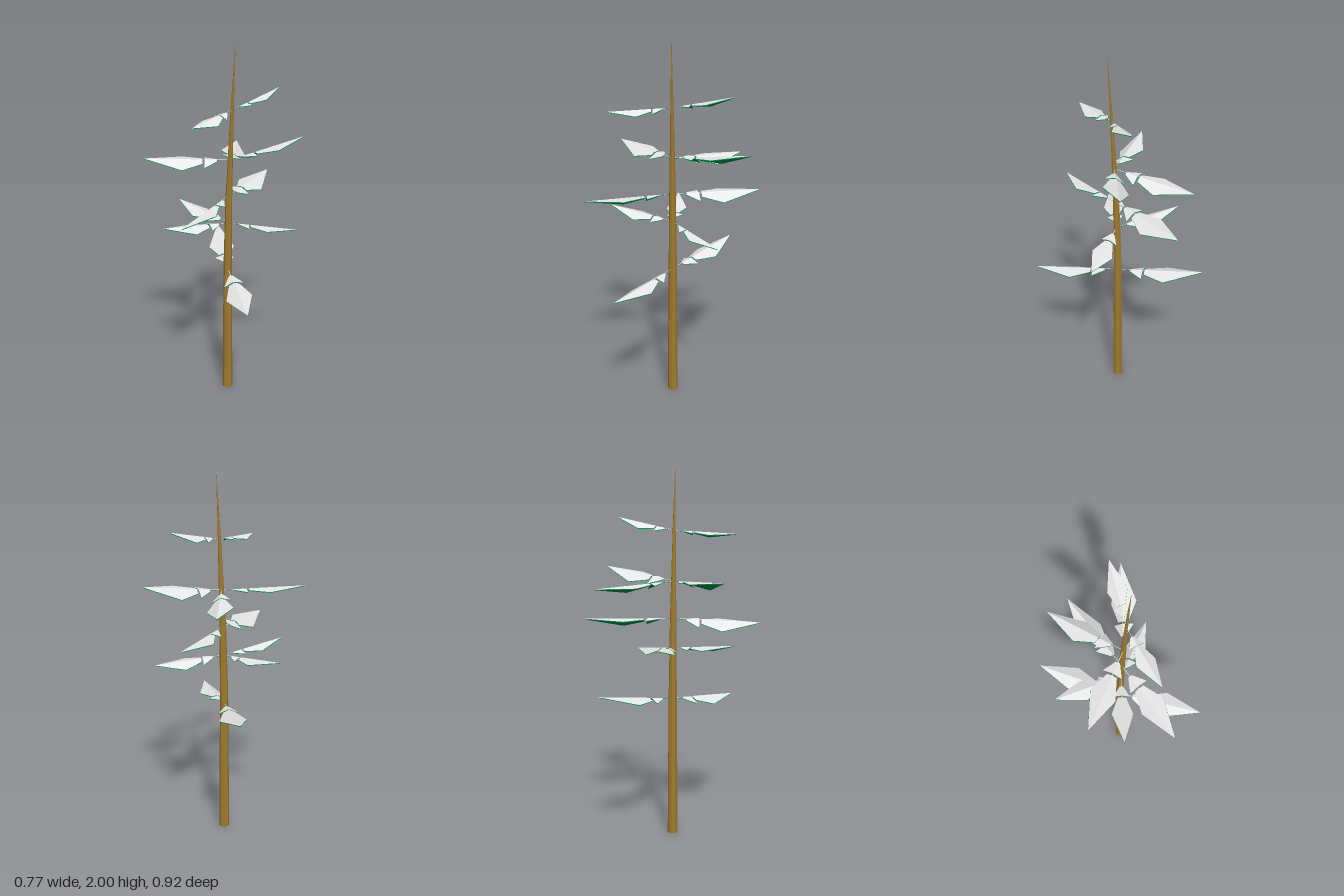
import * as THREE from 'three';

const makeMaterial = (name, color) =>
  new THREE.MeshStandardMaterial({ name, color, flatShading: true, side: THREE.DoubleSide });
const bark = makeMaterial('bark', 0x9f7a2e);
const snow = makeMaterial('snow', 0xf8f8f8);
const needles = makeMaterial('needleGreen', 0x008a45);

// Trunk stations: height, centre x, radius
const STATIONS = [[0, -0.008, 0.029], [0.8, -0.006, 0.023], [1.2, 0.003, 0.018],
  [1.4, 0.013, 0.014], [1.7, 0.028, 0.008], [2, 0.047, 0.001]];

function trunkAt(y) {
  let i = 1;
  while (i < STATIONS.length - 1 && y > STATIONS[i][0]) i++;
  const [a, b] = [STATIONS[i - 1], STATIONS[i]];
  const t = (y - a[0]) / (b[0] - a[0]);
  return { x: a[1] + (b[1] - a[1]) * t, r: a[2] + (b[2] - a[2]) * t };
}

// Branches: joint height, tip x, tip y, tip z, roll in degrees
const BRANCHES = [
  [0.77, -0.38, 0.84, -0.30, 0], [0.77, 0.385, 0.73, 0.26, 10],
  [1.05, -0.12, 1.09, 0.36, -6], [1.05, -0.38, 1.09, 0.01, -5], [1.05, 0.255, 1.0, -0.27, -15],
  [1.21, -0.13, 1.21, -0.463, 14], [1.21, 0.117, 1.185, 0.458, 22],
  [1.41, -0.295, 1.425, 0.328, -14], [1.41, 0.163, 1.478, -0.424, -20], [1.41, -0.27, 1.38, -0.35, 12],
  [1.68, 0.065, 1.75, -0.325, -14], [1.68, 0.075, 1.66, 0.33, -6],
];

// Outlines: [position along the branch, half width], as shares of its length
const TWIG = [[0, 0.004], [0.34, 0.004]];
const INNER = [[0.155, 0.025], [0.3, 0.115]];
const OUTER = [[0.325, 0.06], [0.56, 0.15], [1, 0]];
const DROP = 0.38;
const THICKNESS = 0.004;

// Folded strip along +x: a snow layer above, a green layer just below
function frond(profile, length, name) {
  const top = [];
  for (let i = 0; i < profile.length - 1; i++) {
    const [p, q] = [profile[i], profile[i + 1]];
    for (const s of [1, -1]) {
      const ridge = (k) => [k[0] * length, 0, 0];
      const edge = (k) => [k[0] * length, -DROP * k[1] * length, s * k[1] * length];
      const quad = [ridge(p), edge(p), edge(q), ridge(q)];
      if (s < 0) quad.reverse();
      top.push([quad[0], quad[1], quad[2]], [quad[0], quad[2], quad[3]]);
    }
  }
  const lower = ([x, y, z]) => [x, y - THICKNESS, z];
  const bottom = top.map(([a, b, c]) => [lower(a), lower(c), lower(b)]);
  const g = new THREE.BufferGeometry();
  g.setAttribute('position', new THREE.Float32BufferAttribute([...top, ...bottom].flat(2), 3));
  g.addGroup(0, top.length * 3, 0);
  g.addGroup(top.length * 3, bottom.length * 3, 1);
  g.computeVertexNormals();
  const mesh = new THREE.Mesh(g, [snow, needles]);
  mesh.name = name;
  return mesh;
}

function makeBranch([y, tx, ty, tz, roll]) {
  const joint = new THREE.Vector3(trunkAt(y).x, y, 0);
  const dir = new THREE.Vector3(tx, ty, tz).sub(joint);
  const length = dir.length();
  dir.normalize();
  const side = new THREE.Vector3().crossVectors(dir, new THREE.Vector3(0, 1, 0)).normalize();
  const up = new THREE.Vector3().crossVectors(side, dir);

  const branch = new THREE.Group();
  branch.name = 'branch';
  branch.quaternion.setFromRotationMatrix(new THREE.Matrix4().makeBasis(dir, up, side));
  branch.rotateX(THREE.MathUtils.degToRad(roll));
  branch.position.copy(joint);
  branch.add(frond(TWIG, length, 'twig'), frond(INNER, length, 'innerFrond'),
    frond(OUTER, length, 'outerFrond'));
  return branch;
}

// Leaning trunk: an open cylinder reshaped to the stations
function makeTrunk() {
  const g = new THREE.CylinderGeometry(1, 1, 2, 8, 20, true);
  g.translate(0, 1, 0);
  const p = g.attributes.position;
  for (let i = 0; i < p.count; i++) {
    const { x, r } = trunkAt(p.getY(i));
    p.setXYZ(i, x + p.getX(i) * r, p.getY(i), p.getZ(i) * r);
  }
  g.computeVertexNormals();
  const trunk = new THREE.Mesh(g, bark);
  trunk.name = 'trunk';
  return trunk;
}

export function createModel() {
  const tree = new THREE.Group();
  tree.name = 'snowyTree';
  tree.add(makeTrunk());
  for (const b of BRANCHES) tree.add(makeBranch(b));
  return tree;
}
